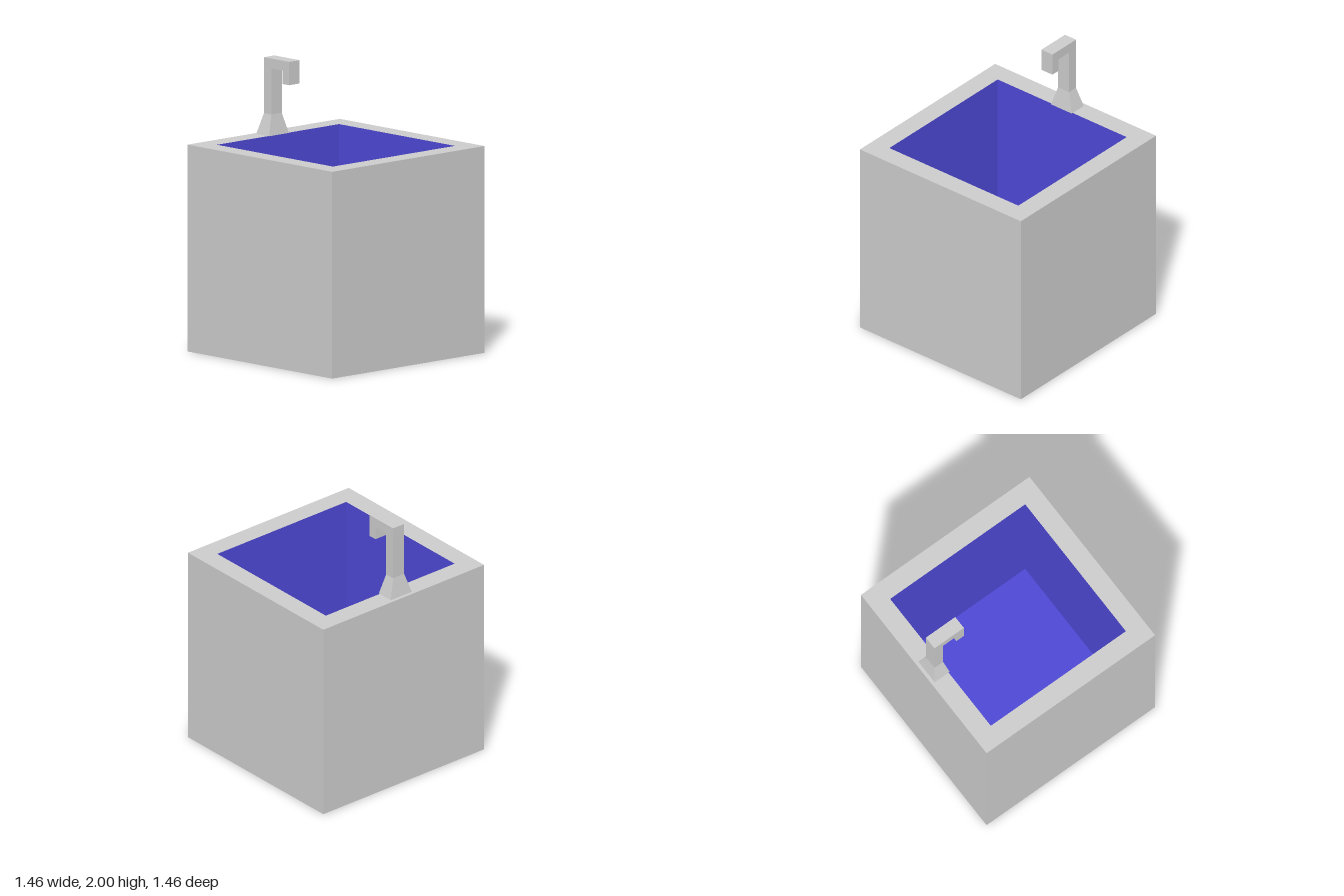
import * as THREE from 'three';

const SIZE = 1.46;      // outer cube
const OPENING = 1.17;   // square opening
const FLOOR = 0.15;     // floor thickness
const SPOUT = 0.1;      // tap width

const grey = new THREE.MeshStandardMaterial({ color: 0xcccccc, flatShading: true });
const blue = new THREE.MeshStandardMaterial({ color: 0x4d48d4, flatShading: true, side: THREE.BackSide });

function part(name, geometry, material) {
  const mesh = new THREE.Mesh(geometry, material);
  mesh.name = name;
  return mesh;
}

// Box without its top face, spanning y0 to y1
function openBox(width, y0, y1) {
  const g = new THREE.BoxGeometry(width, y1 - y0, width);
  const index = Array.from(g.index.array);
  index.splice(12, 6);
  g.setIndex(index);
  g.clearGroups();
  return g.translate(0, (y0 + y1) / 2, 0);
}

function square(path, half) {
  path.moveTo(-half, -half);
  path.lineTo(half, -half);
  path.lineTo(half, half);
  path.lineTo(-half, half);
  path.closePath();
  return path;
}

export function createModel() {
  const model = new THREE.Group();
  model.name = 'sink';

  // Outer walls and underside, and the coloured inside seen from within
  model.add(part('outerWalls', openBox(SIZE, 0, SIZE), grey));
  model.add(part('basinInterior', openBox(OPENING, FLOOR, SIZE), blue));

  // Flat rim around the opening
  const rim = square(new THREE.Shape(), SIZE / 2);
  rim.holes.push(square(new THREE.Path(), OPENING / 2));
  const rimGeometry = new THREE.ShapeGeometry(rim).rotateX(-Math.PI / 2).translate(0, SIZE, 0);
  model.add(part('rim', rimGeometry, grey));

  const tap = new THREE.Group();
  tap.name = 'tap';
  model.add(tap);

  // Flared foot: a box whose lower corners spread outwards
  const foot = new THREE.BoxGeometry(SPOUT, 0.145, 0.075).translate(0, 1.5325, -0.6375);
  const p = foot.attributes.position;
  for (let i = 0; i < p.count; i++) {
    if (p.getY(i) < 1.5) {
      p.setX(i, Math.sign(p.getX(i)) * 0.095);
      p.setZ(i, p.getZ(i) > -0.6375 ? -0.575 : -0.705);
    }
  }
  foot.computeVertexNormals();
  tap.add(part('tapFoot', foot, grey));

  // Hooked spout: side profile in (z, y), extruded across x
  const profile = new THREE.Shape([
    [-0.675, 1.605], [-0.6, 1.605], [-0.6, 1.93], [-0.485, 1.93],
    [-0.485, 1.835], [-0.42, 1.835], [-0.42, 2], [-0.675, 2],
  ].map(([z, y]) => new THREE.Vector2(z, y)));
  const spout = new THREE.ExtrudeGeometry(profile, { depth: SPOUT, bevelEnabled: false });
  spout.translate(0, 0, -SPOUT / 2).rotateY(-Math.PI / 2);
  tap.add(part('tapSpout', spout, grey));

  return model;
}
